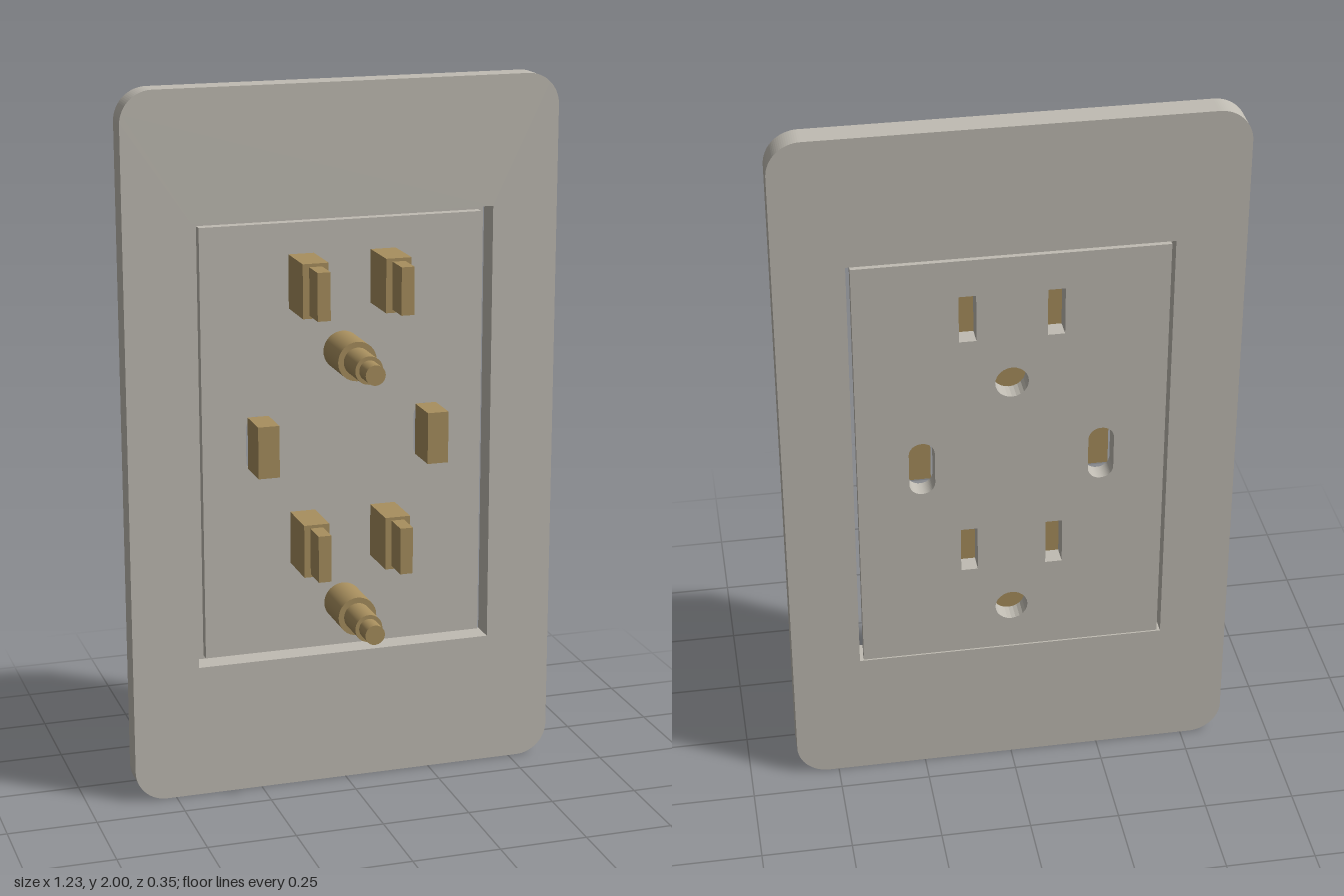
import * as THREE from 'three';

// Rectangle outline centred on (cx, cy), with optional rounded corners
function outline(path, cx, cy, w, h, r = 0) {
  const x = w / 2, y = h / 2;
  if (r === 0) {
    path.moveTo(cx - x, cy - y);
    path.lineTo(cx + x, cy - y);
    path.lineTo(cx + x, cy + y);
    path.lineTo(cx - x, cy + y);
    path.closePath();
    return path;
  }
  path.absarc(cx + x - r, cy + y - r, r, 0, Math.PI / 2);
  path.absarc(cx - x + r, cy + y - r, r, Math.PI / 2, Math.PI);
  path.absarc(cx - x + r, cy - y + r, r, Math.PI, Math.PI * 1.5);
  path.absarc(cx + x - r, cy - y + r, r, Math.PI * 1.5, Math.PI * 2);
  path.closePath();
  return path;
}

export function createModel() {
  const model = new THREE.Group();
  model.name = 'wallOutlet';

  const plastic = new THREE.MeshStandardMaterial({ color: 0xc0bcb3 });
  plastic.name = 'warm grey plastic';
  const brass = new THREE.MeshStandardMaterial({ color: 0xa88f5e });
  brass.name = 'brass';

  const add = (parent, name, geometry, material) => {
    const mesh = new THREE.Mesh(geometry, material);
    mesh.name = name;
    parent.add(mesh);
    return mesh;
  };
  // Flat slab between two depths
  const slab = (shape, z0, z1) =>
    new THREE.ExtrudeGeometry(shape, { depth: z1 - z0, bevelEnabled: false, curveSegments: 12 })
      .translate(0, 0, z0);
  const block = (parent, name, x, y, w, h, z0, z1) =>
    add(parent, name, new THREE.BoxGeometry(w, h, z1 - z0), brass).position.set(x, y, (z0 + z1) / 2);

  const midY = 1.01;
  const insertFront = -0.122;
  const bladeX = 0.117, sideX = 0.243;
  const sockets = [{ blade: 1.46, ground: 1.257 }, { blade: 0.73, ground: 0.526 }];

  // Cover plate with a rectangular opening
  const plate = outline(new THREE.Shape(), 0, 1, 1.232, 2, 0.09);
  plate.holes.push(outline(new THREE.Path(), 0, midY, 0.856, 1.258));
  add(model, 'coverPlate', slab(plate, -0.171, -0.099), plastic);

  // Insert: wide flange at the back, narrower body at the front, pierced by the slots
  const insertShape = (w, h) => {
    const shape = outline(new THREE.Shape(), 0, midY, w, h);
    for (const side of [-1, 1]) {
      for (const s of sockets) {
        shape.holes.push(outline(new THREE.Path(), side * bladeX, s.blade, 0.046, 0.135));
      }
      shape.holes.push(outline(new THREE.Path(), side * sideX, 1.008, 0.07, 0.16, 0.034));
    }
    for (const s of sockets) {
      shape.holes.push(new THREE.Path().absarc(0, s.ground, 0.045, 0, Math.PI * 2));
    }
    return shape;
  };
  const insert = new THREE.Group();
  insert.name = 'socketInsert';
  model.add(insert);
  add(insert, 'insertFlange', slab(insertShape(0.834, 1.246), -0.174, -0.15), plastic);
  add(insert, 'insertBody', slab(insertShape(0.804, 1.224), -0.15, insertFront), plastic);

  // Stepped contacts of each socket
  sockets.forEach((s, i) => {
    const group = new THREE.Group();
    group.name = i === 0 ? 'upperContacts' : 'lowerContacts';
    model.add(group);
    for (const side of [-1, 1]) {
      block(group, 'bladeBase', side * bladeX, s.blade, 0.072, 0.15, insertFront, 0.014);
      block(group, 'bladeTip', side * bladeX, s.blade, 0.036, 0.132, 0.014, 0.091);
    }
    const steps = [[0.055, insertFront, 0.014], [0.039, 0.014, 0.117], [0.028, 0.117, 0.173]];
    for (const [r, z0, z1] of steps) {
      const pin = new THREE.CylinderGeometry(r, r, z1 - z0, 32).rotateX(Math.PI / 2);
      add(group, 'groundPin', pin, brass).position.set(0, s.ground, (z0 + z1) / 2);
    }
  });

  // Short contacts behind the two oval ports
  for (const side of [-1, 1]) {
    block(model, 'portContact', side * sideX, 1.014, 0.06, 0.146, insertFront, -0.014);
  }

  return model;
}
